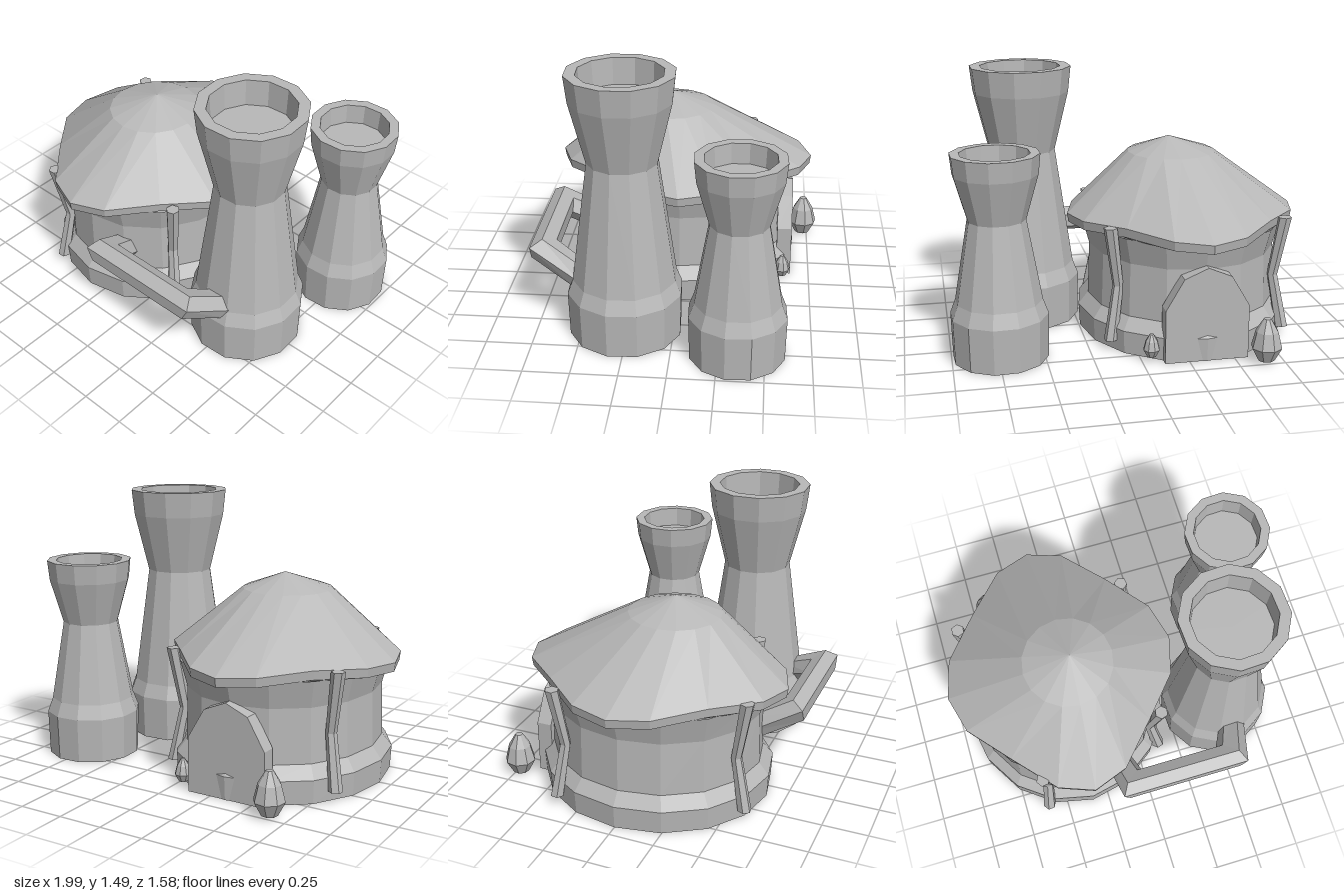
import * as THREE from 'three';

const stone = new THREE.MeshStandardMaterial({ color: 0xb8b8b8, flatShading: true, side: THREE.DoubleSide });
stone.name = 'grey stone';

const V = (x, y, z) => new THREE.Vector3(x, y, z);
const HUT_X = -0.345;

// Skins a row of equal-sized point rings, optionally closing the ends with fans.
function loft(rings, capStart = false, capEnd = false) {
  const pos = [];
  const tri = (...pts) => pts.forEach((p) => pos.push(p.x, p.y, p.z));
  const n = rings[0].length;
  for (let i = 0; i + 1 < rings.length; i++) {
    for (let j = 0; j < n; j++) {
      const k = (j + 1) % n;
      const [a, b, c, d] = [rings[i][j], rings[i][k], rings[i + 1][k], rings[i + 1][j]];
      tri(a, b, c);
      tri(a, c, d);
    }
  }
  const last = rings[rings.length - 1];
  for (let j = 1; j + 1 < n; j++) {
    if (capStart) tri(rings[0][0], rings[0][j + 1], rings[0][j]);
    if (capEnd) tri(last[0], last[j], last[j + 1]);
  }
  const g = new THREE.BufferGeometry();
  g.setAttribute('position', new THREE.Float32BufferAttribute(pos, 3));
  g.computeVertexNormals();
  return g;
}

// Horizontal ring running from +z towards +x.
function ring(cx, y, cz, rx, rz, n, start = 0) {
  return Array.from({ length: n }, (_, k) => {
    const a = start + (k / n) * Math.PI * 2;
    return V(cx + Math.sin(a) * rx, y, cz + Math.cos(a) * rz);
  });
}

function lathe(profile, sides, start = 0) {
  return new THREE.LatheGeometry(profile.map(([r, y]) => new THREE.Vector2(r, y)), sides, start);
}

export function createModel() {
  const model = new THREE.Group();
  const add = (name, geometry, x = 0, y = 0, z = 0) => {
    const m = new THREE.Mesh(geometry, stone);
    m.name = name;
    m.position.set(x, y, z);
    model.add(m);
    return m;
  };

  // Round hut wall with a stepped foot and flared top, open below
  const wall = [[0.588, 0.645, 0], [0.595, 0.652, 0.13], [0.54, 0.595, 0.2], [0.53, 0.59, 0.5], [0.57, 0.63, 0.65]];
  add('hutWall', loft(wall.map(([rx, rz, y]) => ring(HUT_X, y, 0, rx, rz, 16))));

  // Roof: one quarter of the eave outline (x, z, lift), mirrored around
  const quarter = [[0, 0.74, 0], [0.195, 0.67, 0.01], [0.4, 0.445, 0.025], [0.597, 0.215, 0.01], [0.655, 0, 0]];
  const eave = (scale, y) => Array.from({ length: 16 }, (_, k) => {
    const q = Math.floor(k / 4), j = k % 4;
    const [x, z, lift] = quarter[q % 2 ? 4 - j : j];
    return V(HUT_X + (q < 2 ? x : -x) * scale, y + lift, (q === 0 || q === 3 ? z : -z) * scale);
  });
  add('roof', loft([
    ring(HUT_X, 0.645, 0, 0.55, 0.61, 16),
    eave(0.99, 0.63),
    eave(1, 0.68),
    ring(-0.31, 1.0, 0.09, 0.25, 0.255, 16),
    ring(-0.295, 1.087, 0.085, 0.001, 0.001, 16),
  ]));

  // Bent posts leaning against the wall
  [[-0.26, 0.6], [0.47, 0.42], [0.475, -0.39], [-0.5, -0.375]].forEach(([x, z]) => {
    const a = Math.atan2(x, z);
    const section = (s, y, r) => ring(HUT_X + x * s, y, z * s, r, r, 6, a);
    add('wallPost', loft([
      section(1.01, 0.06, 0.038), section(0.91, 0.36, 0.03), section(1.01, 0.7, 0.038),
    ], true, true));
  });

  // Arched door slab at the back
  const arch = new THREE.Shape([[-0.23, 0], [0.23, 0], [0.23, 0.3], [0.13, 0.47], [0, 0.525], [-0.13, 0.47], [-0.23, 0.3]]
    .map(([x, y]) => new THREE.Vector2(x, y)));
  add('backDoor', new THREE.ExtrudeGeometry(arch, { depth: 0.085, bevelEnabled: false }), HUT_X, 0, -0.64);

  // Waisted towers with a sunken top
  add('tallTower', lathe([
    [0.31, 0], [0.316, 0.25], [0.285, 0.33], [0.19, 1.005], [0.272, 1.34], [0.288, 1.485],
    [0.228, 1.485], [0.22, 1.34], [0, 1.34],
  ], 12, 0.31), 0.53, 0, 0.265);
  add('shortTower', lathe([
    [0.26, 0], [0.266, 0.25], [0.236, 0.33], [0.157, 0.775], [0.227, 1.02], [0.238, 1.13],
    [0.187, 1.13], [0.18, 1.02], [0, 1.02],
  ], 12, 0.31), 0.735, 0, -0.352);

  // Hexagonal pipe joining the hut and the tall tower, with mitred corners
  const X = V(1, 0, 0);
  const inward = V(0, -0.5, -0.866);
  const normal = inward.clone().cross(X);
  const out = inward.clone().negate();
  const pipe = [
    [V(-0.16, 0.31, 0.49), X.clone().negate()],
    [V(-0.115, 0.437, 0.715), out.clone().sub(X)],
    [V(0.475, 0.437, 0.715), out.clone().add(X)],
    [V(0.56, 0.32, 0.49), X.clone()],
  ];
  add('pipe', loft(pipe.map(([p, side]) => Array.from({ length: 6 }, (_, k) => {
    const a = (k / 6) * Math.PI * 2;
    return p.clone().addScaledVector(side, Math.cos(a) * 0.075).addScaledVector(normal, Math.sin(a) * 0.075);
  })), true, true));

  // Bud-shaped bushes behind the hut
  const bud = [[0, 0.015], [0.045, 0.015], [0.085, 0.09], [0.062, 0.18], [0.02, 0.25], [0, 0.252]];
  add('largeBud', lathe(bud, 8, 0.2), -0.65, 0, -0.72);
  add('smallBud', lathe(bud, 8, 0.2), -0.05, 0.022, -0.59).scale.setScalar(0.54);

  return model;
}
